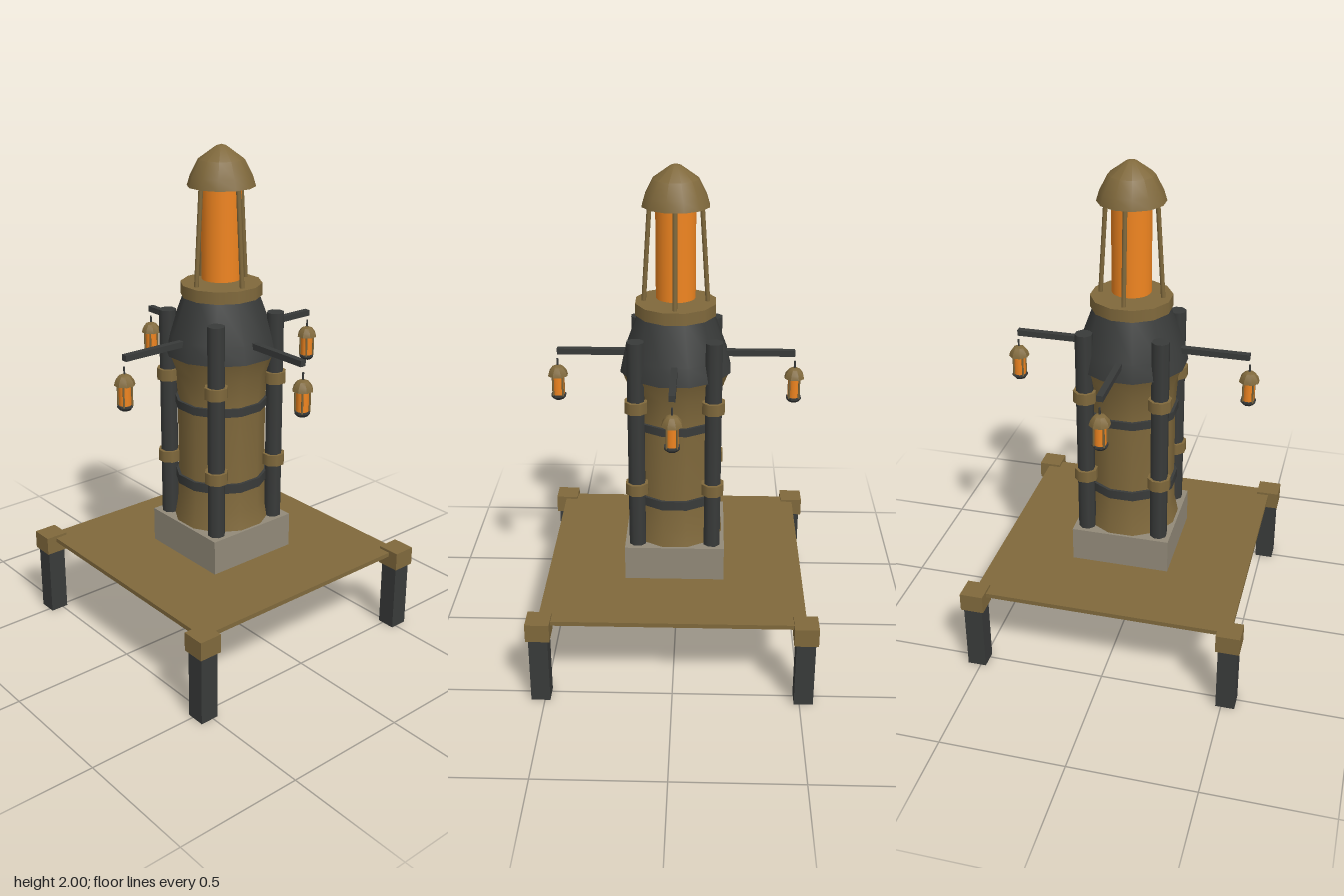
import * as THREE from 'three';
import { toCreasedNormals } from 'three/addons/utils/BufferGeometryUtils.js';

const mat = (color) => new THREE.MeshStandardMaterial({ color });
const brass = mat(0x80693c);
const iron = mat(0x393b3a);
const stone = mat(0x928a79);
const glow = mat(0xf08520);

export function createModel() {
  const model = new THREE.Group();

  const add = (parent, name, geometry, material, x = 0, y = 0, z = 0) => {
    const mesh = new THREE.Mesh(geometry, material);
    mesh.name = name;
    mesh.position.set(x, y, z);
    parent.add(mesh);
    return mesh;
  };
  // Box or prism standing between heights y0 and y1
  const box = (parent, name, w, y0, y1, d, material, x = 0, z = 0) =>
    add(parent, name, new THREE.BoxGeometry(w, y1 - y0, d), material, x, (y0 + y1) / 2, z);
  const prism = (parent, name, r, y0, y1, sides, material, x = 0, z = 0) => {
    const g = new THREE.CylinderGeometry(r, r, y1 - y0, sides).rotateY(Math.PI / sides);
    return add(parent, name, g, material, x, (y0 + y1) / 2, z);
  };
  // Turned profile with one flat towards each axis
  const turned = (parent, name, points, sides, material) => {
    const profile = points.map(([r, y]) => new THREE.Vector2(r, y));
    const g = new THREE.LatheGeometry(profile, sides, Math.PI / sides);
    return add(parent, name, toCreasedNormals(g, 0.6), material);
  };

  // Table platform on four capped legs
  box(model, 'platform', 1.04, 0.327, 0.345, 1.04, brass);
  for (const sx of [-1, 1]) for (const sz of [-1, 1]) {
    box(model, 'leg', 0.075, 0, 0.285, 0.075, iron, sx * 0.516, sz * 0.516);
    box(model, 'legCap', 0.094, 0.28, 0.355, 0.094, brass, sx * 0.516, sz * 0.516);
  }

  // Plinth and flared tower body with iron bands
  box(model, 'plinth', 0.4, 0.345, 0.488, 0.4, stone);
  turned(model, 'towerBody', [
    [0, 0.485], [0.196, 0.485], [0.18, 0.56], [0.176, 0.7], [0.176, 1.0],
    [0.185, 1.12], [0.216, 1.2], [0, 1.2],
  ], 12, brass);
  prism(model, 'lowerBand', 0.188, 0.652, 0.69, 12, iron);
  prism(model, 'upperBand', 0.188, 0.977, 1.01, 12, iron);

  // Corner pipes with clamps
  for (const sx of [-1, 1]) for (const sz of [-1, 1]) {
    const x = sx * 0.15, z = sz * 0.15;
    prism(model, 'cornerPipe', 0.035, 0.488, 1.358, 8, iron, x, z);
    prism(model, 'lowerClamp', 0.047, 0.718, 0.765, 8, brass, x, z);
    prism(model, 'upperClamp', 0.047, 1.07, 1.117, 8, brass, x, z);
  }

  // Sloped shoulder and gallery ring
  turned(model, 'shoulder', [
    [0, 1.198], [0.223, 1.198], [0.207, 1.27], [0.148, 1.43], [0, 1.43],
  ], 12, iron);
  prism(model, 'galleryRing', 0.16, 1.425, 1.473, 12, brass);

  // Beacon, leaning cage rods and domed roof
  prism(model, 'beacon', 0.077, 1.488, 1.85, 24, glow);
  turned(model, 'roof', [
    [0, 1.845], [0.131, 1.845], [0.119, 1.885], [0.088, 1.945], [0.02, 1.994], [0, 2],
  ], 12, brass);

  // Four sides: cage rod, arm and hanging lantern
  for (let i = 0; i < 4; i++) {
    const side = new THREE.Group();
    side.name = 'side' + (i + 1);
    side.rotation.y = i * Math.PI / 2;
    model.add(side);

    const path = new THREE.LineCurve3(
      new THREE.Vector3(0.124, 1.465, 0), new THREE.Vector3(0.098, 1.86, 0));
    add(side, 'cageRod', new THREE.TubeGeometry(path, 1, 0.009, 8), brass);
    box(side, 'arm', 0.29, 1.25, 1.274, 0.025, iron, 0.322, 0);

    const lantern = new THREE.Group();
    lantern.name = 'lantern';
    lantern.position.x = 0.468;
    side.add(lantern);
    prism(lantern, 'hook', 0.004, 1.19, 1.228, 6, iron);
    turned(lantern, 'lanternCap', [
      [0, 1.158], [0.041, 1.158], [0.036, 1.176], [0.022, 1.194], [0.007, 1.2], [0, 1.201],
    ], 8, brass);
    prism(lantern, 'lanternGlass', 0.024, 1.075, 1.16, 12, glow);
    turned(lantern, 'lanternBase', [
      [0, 1.058], [0.02, 1.058], [0.031, 1.07], [0.031, 1.078], [0, 1.078],
    ], 8, iron);
    for (let k = 0; k < 4; k++) {
      const a = k * Math.PI / 2 + Math.PI / 4;
      prism(lantern, 'lanternBar', 0.004, 1.075, 1.16, 6, brass,
        0.027 * Math.cos(a), 0.027 * Math.sin(a));
    }
  }
  return model;
}
